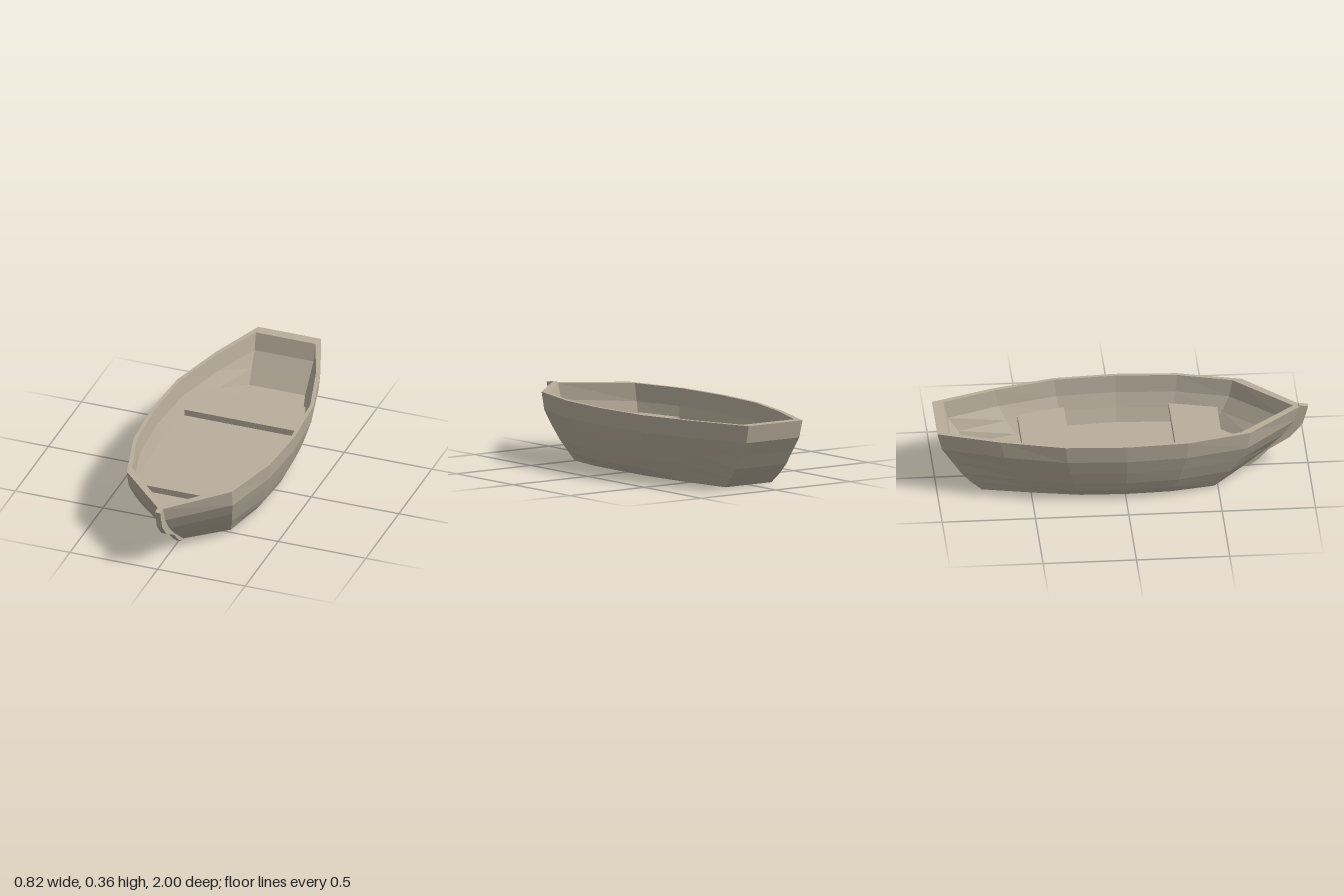
import * as THREE from 'three';

// Hull levels from gunwale to keel: height, stern, bow, and half-breadths of the stations
const LEVELS = [
  { y: 0.36, stern: -1.0, bow: 0.97, ws: 0.18, mid: 0.41, end: 0.30, ze: 0.67, zq: 0.33 },
  { y: 0.265, stern: -0.975, bow: 0.94, ws: 0.178, mid: 0.40, end: 0.297, ze: 0.65, zq: 0.32 },
  { y: 0.185, stern: -0.92, bow: 0.88, ws: 0.174, mid: 0.376, end: 0.277, ze: 0.61, zq: 0.30 },
  { y: 0.11, stern: -0.87, bow: 0.80, ws: 0.17, mid: 0.35, end: 0.26, ze: 0.56, zq: 0.28 },
  { y: 0.055, stern: -0.82, bow: 0.73, ws: 0.165, mid: 0.325, end: 0.24, ze: 0.52, zq: 0.26 },
  { y: 0.004, stern: -0.76, bow: 0.66, ws: 0.155, mid: 0.29, end: 0.222, ze: 0.48, zq: 0.24 },
];

// Plan outline of one level, running from the stern's left corner round the bow
function ring(level, inside) {
  const { y, stern, bow, ws, mid, end, ze, zq } = level;
  const t = inside ? 0.02 : 0;
  const quarter = mid * 0.95;
  const rise = y < 0.01 ? 0.008 : 0; // slight rocker along the bottom edge
  const zi = inside ? 0.05 : 0;
  const side = [
    [ws - t * 0.5, y - rise / 2, stern + (inside ? 0.06 : 0)],
    [end - t, y, -ze + zi * 0.3],
    [quarter - t, y + rise * 0.7, -zq],
    [mid - t, y + rise, 0],
    [quarter - t, y + rise * 0.7, zq],
    [end - t * 0.6, y, ze - zi],
  ];
  const tip = [0, y > 0.3 ? y - 0.009 : y - rise / 2, bow - zi];
  return [...side, tip, ...side.map(([x, h, z]) => [-x, h, z]).reverse()];
}

function fromTriangles(points) {
  const g = new THREE.BufferGeometry();
  g.setAttribute('position', new THREE.Float32BufferAttribute(points.flat(), 3));
  g.computeVertexNormals();
  return g;
}

function loft(rings) {
  const tris = [];
  for (let r = 0; r < rings.length - 1; r++) {
    const a = rings[r], b = rings[r + 1];
    for (let i = 0; i < a.length; i++) {
      const j = (i + 1) % a.length;
      tris.push(a[i], a[j], b[i], a[j], b[j], b[i]);
    }
  }
  return fromTriangles(tris);
}

function cap(outline, y, up) {
  const tris = [];
  outline.forEach((p, i) => {
    const q = outline[(i + 1) % outline.length];
    tris.push([0, y, 0], up ? q : p, up ? p : q);
  });
  return fromTriangles(tris);
}

export function createModel() {
  const boat = new THREE.Group();
  boat.name = 'rowingBoat';
  const wood = new THREE.MeshStandardMaterial({ color: 0xb8ae9c, flatShading: true });
  wood.name = 'weathered wood';
  const add = (name, geometry) => {
    const mesh = new THREE.Mesh(geometry, wood);
    mesh.name = name;
    boat.add(mesh);
  };

  // Planked shell: up the inside, over the gunwale, down the outside
  const outer = LEVELS.map((l) => ring(l, false));
  const inner = LEVELS.slice(0, 4).map((l) => ring(l, true)).reverse();
  add('hull', loft([...inner, ...outer]));
  add('bottom', cap(outer[5], 0.012, false));
  add('floor', cap(inner[0], LEVELS[3].y, true));

  // Tapered thwarts, fore and aft
  for (const [name, s] of [['foreSeat', 1], ['aftSeat', -1]]) {
    const plan = new THREE.Shape(
      [[-0.33, 0.28], [0.33, 0.28], [0.265, 0.535], [-0.265, 0.535]]
        .map(([x, z]) => new THREE.Vector2(x, z * s)));
    const seat = new THREE.ExtrudeGeometry(plan, { depth: 0.035, bevelEnabled: false });
    seat.rotateX(Math.PI / 2).translate(0, 0.213, 0);
    add(name, seat);
  }

  // Stem post following the bow, drawn as (z, y)
  const profile = new THREE.Shape(
    [[0.95, 0.358], [1.0, 0.35], [0.97, 0.245], [0.905, 0.17], [0.79, 0.1], [0.73, 0.04], [0.68, 0],
      [0.65, 0.004], [0.71, 0.055], [0.78, 0.11], [0.86, 0.185], [0.92, 0.265]]
      .map(([z, y]) => new THREE.Vector2(z, y)));
  const stem = new THREE.ExtrudeGeometry(profile, { depth: 0.03, bevelEnabled: false });
  stem.rotateY(-Math.PI / 2).translate(0.015, 0, 0);
  add('stemPost', stem);

  return boat;
}
